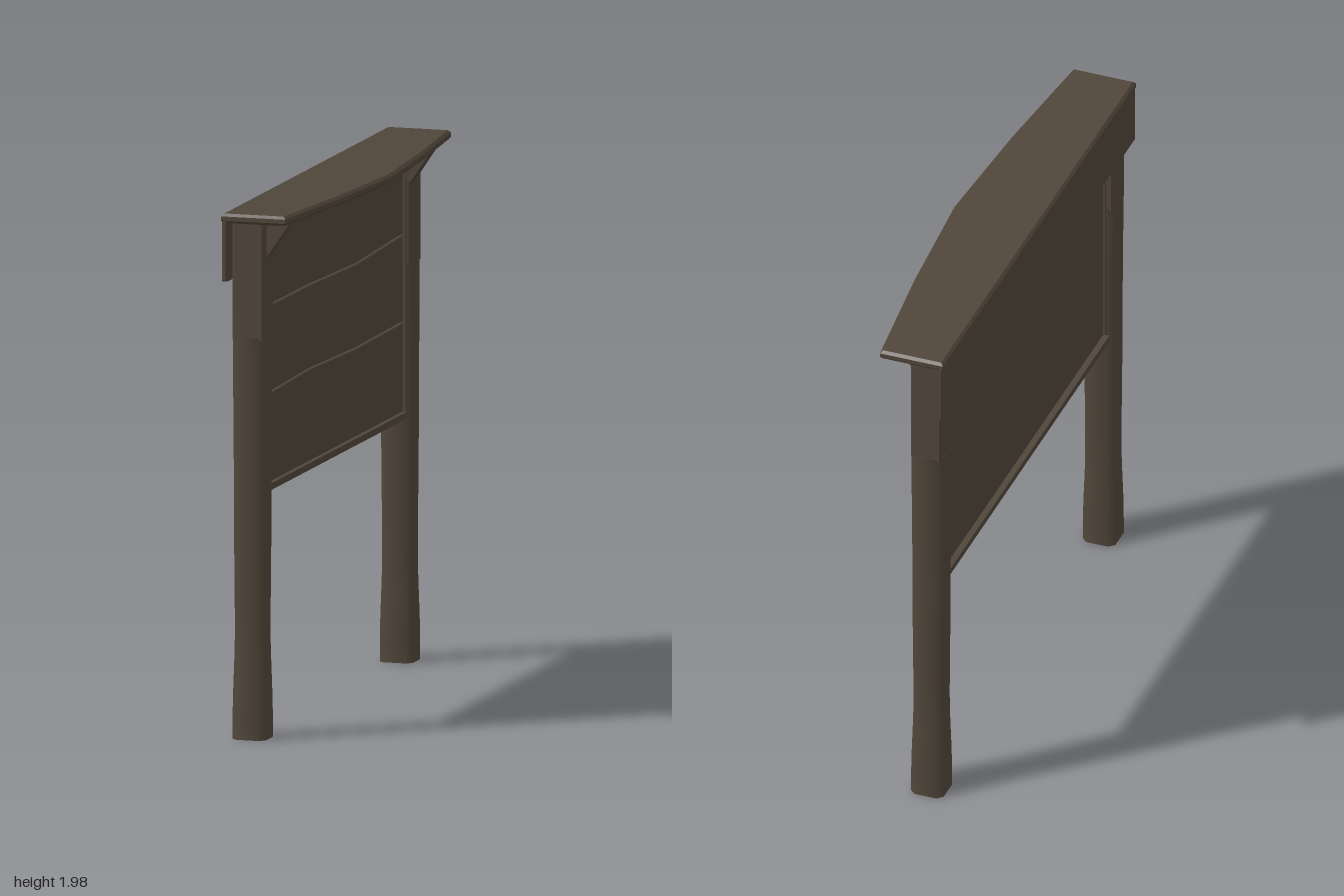
import * as THREE from 'three';
import { toCreasedNormals } from 'three/addons/utils/BufferGeometryUtils.js';

const wood = new THREE.MeshStandardMaterial({ color: 0x50463a });
wood.name = 'dark weathered wood';

const POST_X = -0.083;

function part(name, geometry, parent, crease = 0.5) {
  const mesh = new THREE.Mesh(toCreasedNormals(geometry, crease), wood);
  mesh.name = name;
  parent.add(mesh);
  return mesh;
}

function shapeOf(points) {
  return new THREE.Shape(points.map(([x, y]) => new THREE.Vector2(x, y)));
}

// Box with chamfered edges, given by its extents
function beam(name, [x0, x1], [y0, y1], [z0, z1], bevel, parent) {
  const b = bevel;
  const s = shapeOf([[x0 + b, y0 + b], [x1 - b, y0 + b], [x1 - b, y1 - b], [x0 + b, y1 - b]]);
  const g = new THREE.ExtrudeGeometry(s, {
    depth: z1 - z0 - 2 * b, bevelThickness: b, bevelSize: b, bevelSegments: 1,
  });
  g.translate(0, 0, z0 + b);
  return part(name, g, parent);
}

// Upright with chamfered corners whose width follows a profile of height
function upright(y0, y1, steps, chamfer, width) {
  const h = 0.5, c = 0.5 - chamfer;
  const s = shapeOf([[h, -c], [h, c], [c, h], [-c, h], [-h, c], [-h, -c], [-c, -h], [c, -h]]);
  const g = new THREE.ExtrudeGeometry(s, { depth: y1 - y0, steps, bevelEnabled: false });
  g.rotateX(-Math.PI / 2);
  g.translate(0, y0, 0);
  const p = g.attributes.position;
  for (let i = 0; i < p.count; i++) {
    const w = width(p.getY(i));
    p.setX(i, p.getX(i) * w);
    p.setZ(i, p.getZ(i) * w);
  }
  return g;
}

// Foot flares out, shaft narrows, then widens again towards the board
function postWidth(y) {
  const keys = [[0, 0.129], [0.08, 0.128], [0.4, 0.114], [0.9, 0.12], [1.51, 0.126]];
  for (let i = 1; i < keys.length; i++) {
    const [a, wa] = keys[i - 1], [b, wb] = keys[i];
    if (y <= b) return THREE.MathUtils.lerp(wa, wb, THREE.MathUtils.smoothstep(y, a, b));
  }
  return 0.126;
}

export function createModel() {
  const model = new THREE.Group();
  model.name = 'noticeBoard';

  // Posts, each with a squarer head
  for (const side of [1, -1]) {
    const post = new THREE.Group();
    post.name = side > 0 ? 'leftPost' : 'rightPost';
    post.position.set(POST_X, 0, side * 0.888);
    model.add(post);
    part('postShaft', upright(0, 1.51, 30, 0.16, postWidth), post, 0.9);
    part('postHead', upright(1.5, 1.95, 1, 0.07, () => 0.124), post);
  }

  // Backing panel and bottom ledge
  beam('backPanel', [-0.108, -0.066], [0.93, 1.95], [-0.84, 0.84], 0.004, model);
  beam('bottomLedge', [-0.132, -0.034], [0.92, 0.945], [-0.83, 0.83], 0.006, model);

  // Planks with wavy seams on the face; shape x runs along -z
  const seams = [
    [[-0.84, 0.94], [0.84, 0.94]],
    [[-0.84, 1.278], [-0.3, 1.29], [0.27, 1.275], [0.84, 1.28]],
    [[-0.84, 1.608], [-0.3, 1.606], [0.27, 1.591], [0.84, 1.61]],
    [[-0.84, 1.955], [0.84, 1.955]],
  ];
  const gap = 0.011;
  for (let i = 0; i < 3; i++) {
    const low = seams[i].map(([x, y]) => [x, y + gap / 2]);
    const high = seams[i + 1].map(([x, y]) => [x, y - gap / 2]).reverse();
    const g = new THREE.ExtrudeGeometry(shapeOf([...low, ...high]), {
      depth: 0.014, bevelThickness: 0.004, bevelSize: 0.003, bevelSegments: 1,
    });
    g.rotateY(Math.PI / 2);
    g.translate(-0.07, 0, 0);
    part('facePlank', g, model);
  }

  // Slim strips framing the panel beside the posts and under the roof
  for (const z of [0.826, -0.826]) {
    beam('sideStrip', [-0.118, -0.036], [0.935, 1.95], [z - 0.006, z + 0.006], 0.003, model);
  }
  beam('topStrip', [-0.115, -0.04], [1.935, 1.955], [-0.83, 0.83], 0.003, model);

  // Roof board, bowed out along its front edge
  const b = 0.01;
  const roofShape = shapeOf([
    [-0.17 + b, -1 + b], [0.08 - b, -1 + b], [0.132 - b, -0.5], [0.166 - b, 0],
    [0.132 - b, 0.5], [0.08 - b, 1 - b], [-0.17 + b, 1 - b],
  ]);
  const roof = new THREE.ExtrudeGeometry(roofShape, {
    depth: 0.016, bevelThickness: b, bevelSize: b, bevelSegments: 1,
  });
  roof.rotateX(-Math.PI / 2);
  roof.translate(0, 1.944 + b, 0);
  part('roofBoard', roof, model);

  // Fascia hanging behind the roof
  beam('rearFascia', [-0.168, -0.148], [1.725, 1.955], [-0.997, 0.997], 0.005, model);

  // Braces under the roof overhang
  for (const z of [0.889, -0.846]) {
    const s = shapeOf([[-0.035, 1.805], [-0.024, 1.805], [0.075, 1.95], [-0.035, 1.95]]);
    const g = new THREE.ExtrudeGeometry(s, {
      depth: 0.032, bevelThickness: 0.009, bevelSize: 0.005, bevelSegments: 1,
    });
    g.translate(0, 0, z - 0.016);
    part('roofBrace', g, model);
  }

  return model;
}
